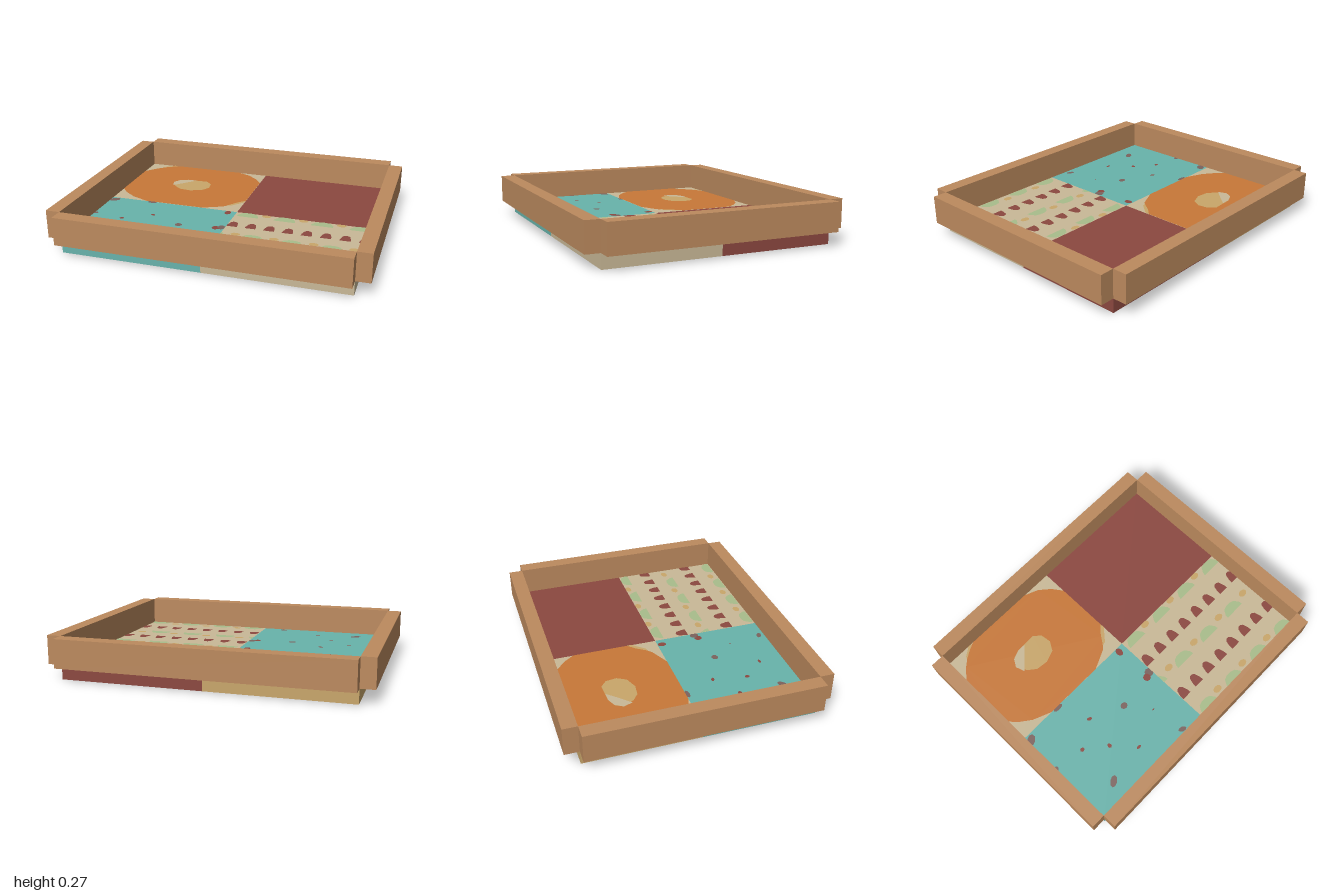
import * as THREE from 'three';
import { mergeGeometries } from 'three/addons/utils/BufferGeometryUtils.js';

const C = 1 / 11; // edge of one cell
const W = 10 * C, D = 8 * C; // size of one floor quarter

const mat = (name, color) => {
  const m = new THREE.MeshStandardMaterial({ color, side: THREE.DoubleSide });
  m.name = name;
  return m;
};

export function createModel() {
  const group = new THREE.Group();
  const wood = mat('wood', 0xbc8a5e), teal = mat('teal', 0x68b3ab), red = mat('dark red', 0x8c4840);
  const beige = mat('beige', 0xc9b997), gold = mat('gold', 0xc9a66a), orange = mat('orange', 0xc87838);
  const green = mat('green', 0xa9bd8b), umber = mat('umber', 0x7b625d);

  const add = (name, geo, material) => {
    const mesh = new THREE.Mesh(geo, material);
    mesh.name = name;
    group.add(mesh);
    return mesh;
  };

  // Open-bottomed honeycomb of square cells: walls on every grid line and a lid on each layer
  const cellBlock = (name, x0, z0, nx, nz, y0, layers, material, lidMaterial = material) => {
    const h = layers * C, w = nx * C, d = nz * C, walls = [], lids = [];
    const seam = (v, dir) => (Math.abs(v) < 1e-6 ? dir * 0.001 : v); // keeps neighbouring walls apart
    for (let i = 0; i <= nx; i++) {
      const g = new THREE.PlaneGeometry(d, h).rotateY(i === 0 ? -Math.PI / 2 : Math.PI / 2);
      walls.push(g.translate(seam(x0 + i * C, x0 < -1e-6 ? -1 : 1), y0 + h / 2, z0 + d / 2));
    }
    for (let j = 0; j <= nz; j++) {
      const g = new THREE.PlaneGeometry(w, h).rotateY(j === 0 ? Math.PI : 0);
      walls.push(g.translate(x0 + w / 2, y0 + h / 2, seam(z0 + j * C, z0 < -1e-6 ? -1 : 1)));
    }
    for (let k = 1; k <= layers; k++) {
      lids.push(new THREE.PlaneGeometry(w, d).rotateX(-Math.PI / 2).translate(x0 + w / 2, y0 + k * C, z0 + d / 2));
    }
    add(name + 'Walls', mergeGeometries(walls), material);
    add(name + 'Top', mergeGeometries(lids), lidMaterial);
  };

  // Floor quarters
  cellBlock('backRightFloor', -W, -D, 10, 8, 0, 1, gold, beige);
  cellBlock('backLeftFloor', 0, -D, 10, 8, 0, 1, red);
  cellBlock('frontRightFloor', -W, 0, 10, 8, 0, 1, teal);
  cellBlock('frontLeftFloor', 0, 0, 10, 8, 0, 1, beige);

  // Raised border boards, two cells tall, corners left open
  cellBlock('backBoard', -W, -D - C, 20, 1, C, 2, wood);
  cellBlock('frontBoard', -W, D, 20, 1, C, 2, wood);
  cellBlock('rightBoard', -W - C, -D, 1, 16, C, 2, wood);
  cellBlock('leftBoard', W, -D, 1, 16, C, 2, wood);

  // Flat painted patch from x, z points, trimmed to a quarter of the floor
  const patch = (points, [minX, minZ], level = 1) => {
    const pts = points.map(([x, z]) => new THREE.Vector2(
      THREE.MathUtils.clamp(x, minX, minX + W), -THREE.MathUtils.clamp(z, minZ, minZ + D)));
    return new THREE.ShapeGeometry(new THREE.Shape(pts)).rotateX(-Math.PI / 2).translate(0, C + level * 0.0015, 0);
  };
  const oval = (x, z, rx, rz, turn = 0, n = 12) => Array.from({ length: n }, (_, i) => {
    const a = (i / n) * Math.PI * 2, u = Math.cos(a) * rx, v = Math.sin(a) * rz;
    return [x + u * Math.cos(turn) - v * Math.sin(turn), z + u * Math.sin(turn) + v * Math.cos(turn)];
  });

  // Large ring with an irregular centre
  const ringArea = [-W, -D];
  add('ringPatch', patch([
    [-0.91, -0.55], [-0.84, -0.63], [-0.77, -0.69], [-0.69, -0.73], [-0.21, -0.73], [-0.12, -0.69], [-0.05, -0.63],
    [0, -0.56], [0, -0.2], [-0.05, -0.13], [-0.12, -0.06], [-0.25, 0], [-0.66, 0], [-0.78, -0.05], [-0.86, -0.11],
    [-0.91, -0.17]], ringArea), orange);
  add('ringCentre', patch([
    [-0.61, -0.39], [-0.58, -0.44], [-0.52, -0.465], [-0.38, -0.47], [-0.335, -0.43], [-0.325, -0.36],
    [-0.36, -0.3], [-0.44, -0.27], [-0.52, -0.28], [-0.57, -0.32]], ringArea, 2), gold);
  add('ringCentreHighlight', patch([
    [-0.61, -0.39], [-0.58, -0.44], [-0.52, -0.465], [-0.46, -0.465], [-0.52, -0.4], [-0.59, -0.33]], ringArea, 3), beige);
  add('ringEdge', mergeGeometries([
    patch([[0, -0.2], [-0.05, -0.15], [-0.1, -0.08], [-0.07, -0.09], [0, -0.17]], ringArea, 2),
    patch([[-0.8, -0.665], [-0.7, -0.727], [-0.73, -0.727], [-0.79, -0.685]], ringArea, 2)]), gold);

  // Scattered specks: x, z, half width, half depth, turn
  const speckArea = [-W, 0];
  const specks = (list) => mergeGeometries(list.map(([x, z, rx, rz, t]) => patch(oval(x, z, rx, rz, t, 8), speckArea)));
  add('umberSpecks', specks([
    [-0.88, 0.04, 0.04, 0.026, -0.6], [-0.61, 0.01, 0.035, 0.015, 0], [-0.9, 0.29, 0.02, 0.015, -0.6],
    [-0.3, 0.31, 0.025, 0.022, 0], [-0.7, 0.605, 0.04, 0.022, -0.6], [-0.15, 0.69, 0.028, 0.016, 0.4],
    [-0.02, 0.27, 0.03, 0.03, 0]]), umber);
  add('redSpecks', specks([
    [-0.055, 0.03, 0.022, 0.03, 0], [-0.055, 0.285, 0.026, 0.026, 0], [-0.52, 0.21, 0.018, 0.011, 0.4],
    [-0.695, 0.32, 0.015, 0.013, 0], [-0.555, 0.427, 0.013, 0.016, 0], [-0.43, 0.568, 0.018, 0.009, 0],
    [-0.185, 0.465, 0.009, 0.004, 0]]), red);

  // Rows of domes, bushes and dots
  const rowArea = [0, 0];
  const dome = (x, z, r, h) => [
    [x - r, z], [x - r * 0.95, z - h * 0.35], [x - r * 0.65, z - h * 0.85], [x - r * 0.25, z - h],
    [x + r * 0.25, z - h], [x + r * 0.65, z - h * 0.85], [x + r * 0.95, z - h * 0.35], [x + r, z]];
  const domes = [], bushes = [], dots = [];
  for (const z of [0.235, 0.56]) {
    for (let i = 0; i < 8; i++) domes.push(patch(dome(0.036 + i * 0.122, z, 0.035, 0.075), rowArea));
  }
  for (const [z, start, dotStart] of [[0.065, 0.09, 0.21], [0.39, -0.04, 0.095], [0.722, 0.09, 0.21]]) {
    for (let i = 0; i < 4; i++) {
      const x = start + i * 0.25;
      bushes.push(patch(dome(x, z, 0.073, 0.065), rowArea));
      if (dotStart + i * 0.25 < W) dots.push(patch(oval(dotStart + i * 0.25, z - 0.048, 0.031, 0.022), rowArea));
    }
  }
  add('redDomes', mergeGeometries(domes), red);
  add('greenBushes', mergeGeometries(bushes), green);
  add('goldDots', mergeGeometries(dots), gold);

  return group;
}
